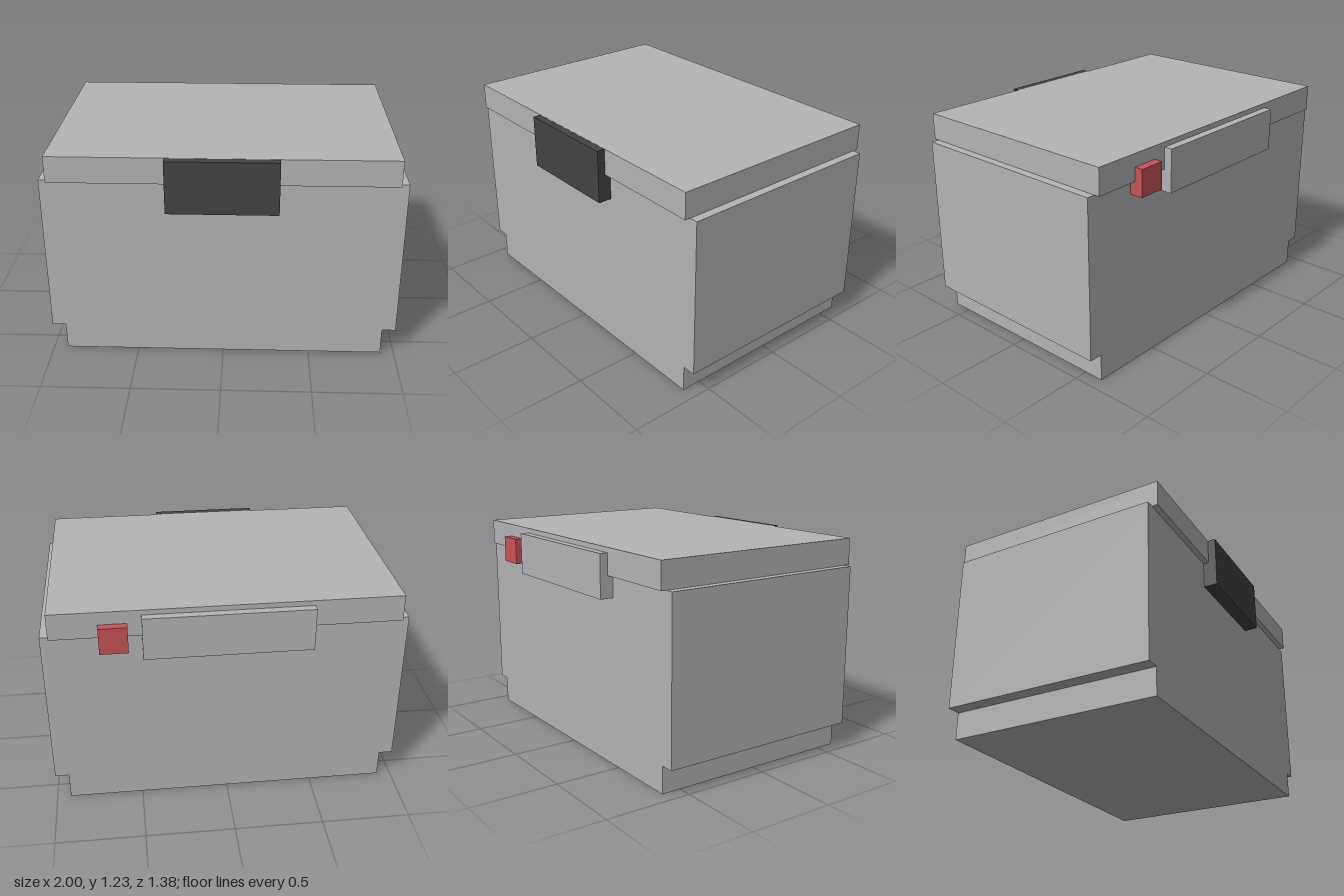
import * as THREE from 'three';

export function createModel() {
  const group = new THREE.Group();
  const material = (name, color) => {
    const m = new THREE.MeshStandardMaterial({ color });
    m.name = name;
    return m;
  };
  const grey = material('case grey', 0xb3b4b8);
  const dark = material('latch charcoal', 0x434246);
  const red = material('button red', 0xc85356);

  // Box given by its extents along each axis
  const box = (name, mat, [x0, x1], [y0, y1], [z0, z1]) => {
    const mesh = new THREE.Mesh(new THREE.BoxGeometry(x1 - x0, y1 - y0, z1 - z0), mat);
    mesh.position.set((x0 + x1) / 2, (y0 + y1) / 2, (z0 + z1) / 2);
    mesh.name = name;
    group.add(mesh);
  };

  // Case: narrow foot, wide body and overhanging lid
  box('base', grey, [-0.922, 0.922], [0, 0.156], [-0.613, 0.613]);
  box('body', grey, [-1, 1], [0.156, 1.08], [-0.613, 0.613]);
  box('lid', grey, [-0.955, 0.953], [1.08, 1.231], [-0.646, 0.646]);

  // Front latch, with its top just below the lid surface
  box('frontLatch', dark, [-0.31, 0.307], [0.925, 1.23], [0.6, 0.692]);

  // Rear hinge plate and button
  box('hingePlate', grey, [-0.465, 0.46], [0.956, 1.202], [-0.692, -0.6]);
  box('rearButton', red, [0.535, 0.69], [1.003, 1.157], [-0.692, -0.6]);

  return group;
}
